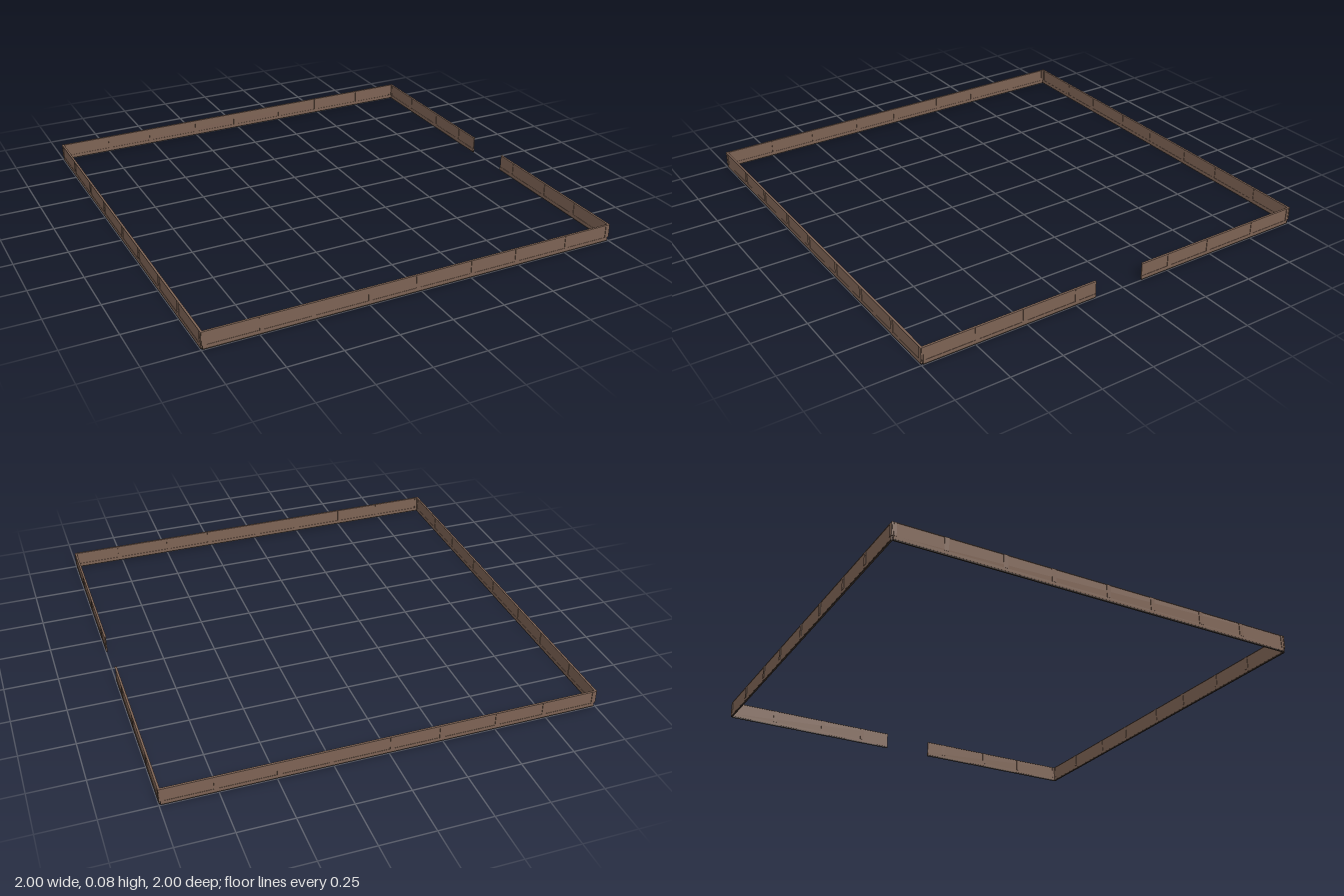
import * as THREE from 'three';

const wood = new THREE.MeshStandardMaterial({ color: 0x7d6354 });
wood.name = 'brown wood';
const dark = new THREE.MeshStandardMaterial({ color: 0x3f332b });
dark.name = 'dark wood';

const TOP = 0.083;      // fence height
const SILL = 0.006;     // dark sill height
const RAIL = 0.02;      // top of the lower rail
const CAP = 0.002;      // thickness of the top cap
const POSTS = [-0.988, -0.74, -0.51, -0.245, -0.015, 0.26, 0.49, 0.76, 0.988];

// Box given by its extents along the run (u), height (y) and depth
function slab(parent, name, material, u0, u1, y0, y1, depth) {
  const mesh = new THREE.Mesh(new THREE.BoxGeometry(u1 - u0, y1 - y0, depth), material);
  mesh.position.set((u0 + u1) / 2, (y0 + y1) / 2, 0);
  mesh.name = name;
  parent.add(mesh);
}

// One straight run of fence along local x, from u0 to u1
function fenceRun(name, u0, u1) {
  const run = new THREE.Group();
  run.name = name;
  const base0 = Math.max(u0, -0.993), base1 = Math.min(u1, 0.993);
  slab(run, 'sill', dark, base0, base1, 0, SILL, 0.007);
  slab(run, 'lowerRail', wood, base0, base1, SILL, RAIL, 0.008);
  slab(run, 'boards', wood, u0, u1, RAIL, TOP - CAP, 0.005);
  slab(run, 'topCap', wood, u0, u1, TOP - CAP, TOP, 0.01);
  // Posts stand proud of the boards, flush with the cap
  for (const u of POSTS) {
    if (u < u0 || u > u1) continue;
    slab(run, 'post', wood, Math.max(u - 0.01, u0), Math.min(u + 0.01, u1), RAIL, TOP - CAP, 0.01);
  }
  return run;
}

export function createModel() {
  const model = new THREE.Group();
  model.name = 'perimeterFence';
  const E = 0.995;

  const front = fenceRun('frontFence', -1, 1);
  front.position.z = E;
  const back = fenceRun('backFence', -1, 1);
  back.position.z = -E;

  // Side runs: local x becomes world -z
  const right = fenceRun('rightFence', -0.99, 0.99);
  right.rotation.y = Math.PI / 2;
  right.position.x = -E;

  // The left side is split by the gateway
  const left = new THREE.Group();
  left.name = 'leftFence';
  left.add(fenceRun('leftFenceFrontPart', -0.99, -0.145));
  left.add(fenceRun('leftFenceBackPart', 0.105, 0.99));
  left.rotation.y = Math.PI / 2;
  left.position.x = E;

  model.add(front, back, right, left);
  return model;
}
